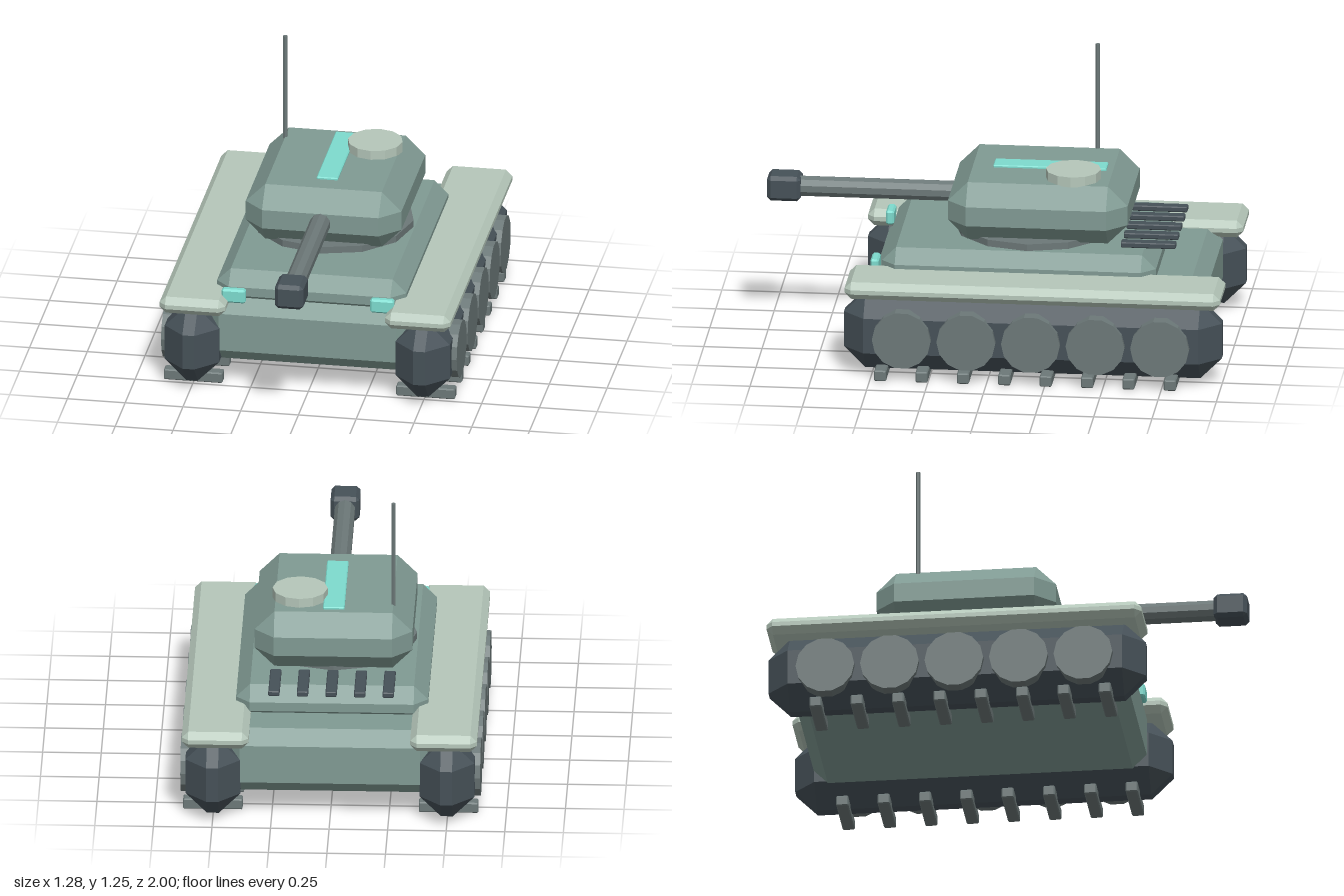
import * as THREE from 'three';
import { ConvexGeometry } from 'three/addons/geometries/ConvexGeometry.js';

const paint = (color) => new THREE.MeshStandardMaterial({ color, flatShading: true });
const hullPaint = paint(0x809a93);
const palePaint = paint(0xb5c7ba);
const darkPaint = paint(0x465158);
const steelPaint = paint(0x6c7878);
const accentPaint = paint(0x7ddbce);

// Box with all edges chamfered, given by its extents on each axis
function chamferBox([x0, x1], [y0, y1], [z0, z1], b) {
  const h = [(x1 - x0) / 2, (y1 - y0) / 2, (z1 - z0) / 2];
  const points = [];
  for (const sx of [-1, 1]) for (const sy of [-1, 1]) for (const sz of [-1, 1]) {
    for (let axis = 0; axis < 3; axis++) {
      const p = h.map((v, i) => (i === axis ? v : v - b));
      points.push(new THREE.Vector3(p[0] * sx, p[1] * sy, p[2] * sz));
    }
  }
  return new ConvexGeometry(points).translate((x0 + x1) / 2, (y0 + y1) / 2, (z0 + z1) / 2);
}

export function createModel() {
  const model = new THREE.Group();
  model.name = 'tank';

  function add(name, geometry, material, parent = model) {
    const mesh = new THREE.Mesh(geometry, material);
    mesh.name = name;
    parent.add(mesh);
    return mesh;
  }

  // Hull
  add('lowerHull', chamferBox([-0.445, 0.445], [0.115, 0.405], [-0.91, 0.52], 0.06), hullPaint);
  add('upperHull', chamferBox([-0.41, 0.41], [0.355, 0.515], [-0.7, 0.475], 0.06), hullPaint);

  // Engine grille bars on the rear deck
  for (let i = -2; i <= 2; i++) {
    const x = i * 0.122;
    add('grilleBar', chamferBox([x - 0.024, x + 0.024], [0.518, 0.542], [-0.775, -0.54], 0.004), darkPaint);
  }

  // Running gear, one set per side
  for (const [side, s] of [['left', 1], ['right', -1]]) {
    const gear = new THREE.Group();
    gear.name = side + 'RunningGear';
    model.add(gear);
    const span = (a, b) => (s > 0 ? [a, b] : [-b, -a]);

    add('track', chamferBox(span(0.382, 0.617), [0.03, 0.37], [-1, 0.62], 0.092), darkPaint, gear);
    add('fender', chamferBox(span(0.345, 0.63), [0.362, 0.437], [-1, 0.61], 0.028), palePaint, gear);
    add('headlight', chamferBox(span(0.27, 0.373), [0.4, 0.462], [0.488, 0.524], 0.008), accentPaint, gear);

    for (let i = 0; i < 5; i++) {
      const wheel = new THREE.CylinderGeometry(0.126, 0.126, 0.06, 14).rotateZ(Math.PI / 2);
      add('roadWheel', wheel.translate(s * 0.61, 0.192, 0.363 - i * 0.277), steelPaint, gear);
    }
    for (let i = 0; i < 8; i++) {
      const z = 0.455 - i * 0.1775;
      add('trackCleat', chamferBox(span(0.376, 0.63), [0.003, 0.05], [z - 0.026, z + 0.026], 0.005), steelPaint, gear);
    }
  }

  // Turret
  const turret = new THREE.Group();
  turret.name = 'turret';
  model.add(turret);
  add('turretRing', new THREE.CylinderGeometry(0.345, 0.345, 0.045, 12).translate(0, 0.522, -0.145), steelPaint, turret);
  add('turretBody', chamferBox([-0.337, 0.337], [0.53, 0.785], [-0.568, 0.203], 0.085), hullPaint, turret);
  add('roofStripe', chamferBox([-0.046, 0.046], [0.775, 0.795], [-0.455, 0.03], 0.004), accentPaint, turret);
  add('hatch', new THREE.CylinderGeometry(0.118, 0.118, 0.045, 12).translate(0.148, 0.803, -0.325), palePaint, turret);
  add('antenna', new THREE.CylinderGeometry(0.01, 0.01, 0.49, 6).translate(-0.253, 1.01, -0.388), steelPaint, turret);

  // Gun
  add('gunBarrel', new THREE.CylinderGeometry(0.045, 0.045, 0.74, 10).rotateX(Math.PI / 2).translate(0, 0.657, 0.5), steelPaint, turret);
  add('muzzle', chamferBox([-0.062, 0.062], [0.602, 0.712], [0.856, 1], 0.016), darkPaint, turret);

  return model;
}
